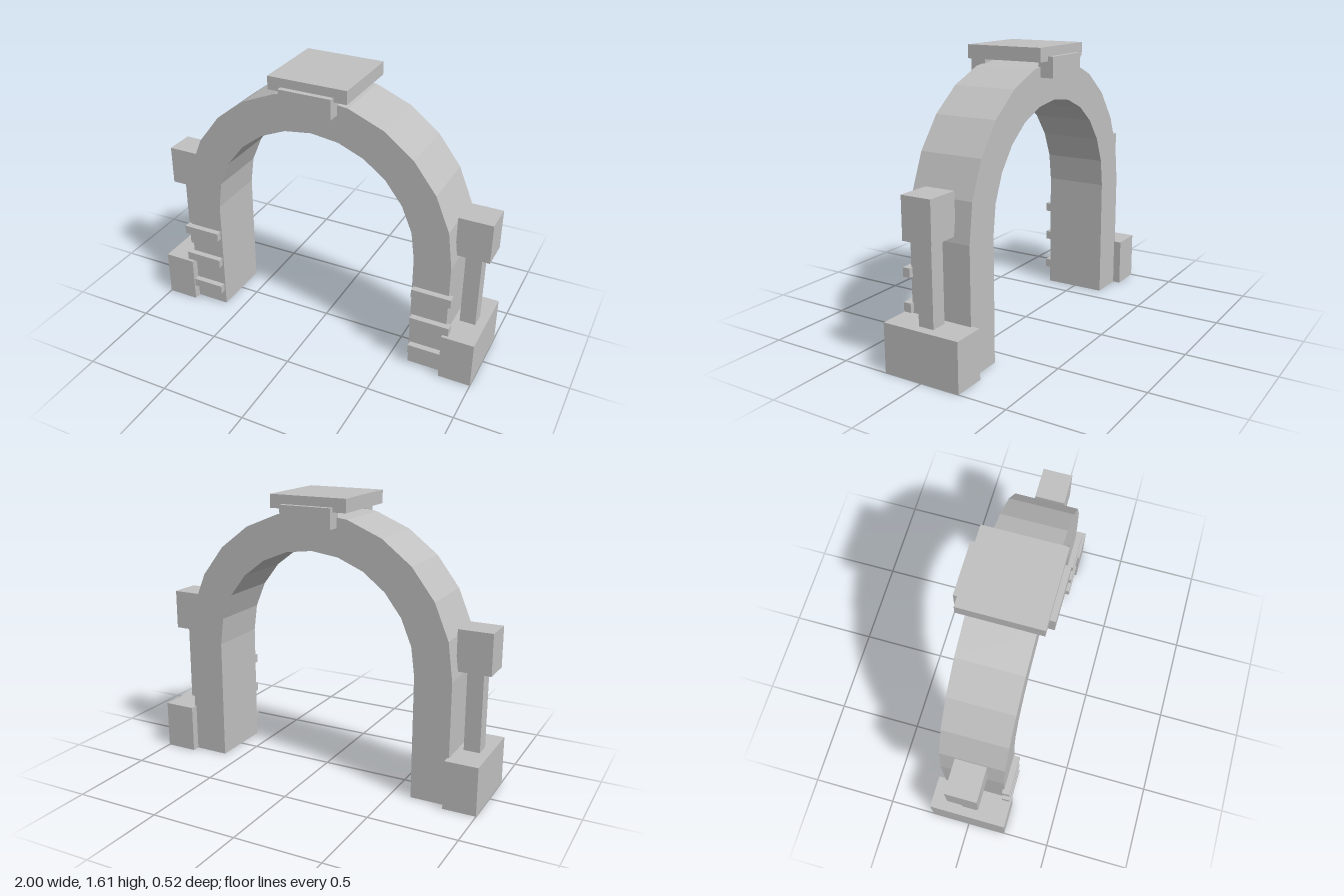
import * as THREE from 'three';

export function createModel() {
  const model = new THREE.Group();
  model.name = 'archway';
  const stone = new THREE.MeshStandardMaterial({ color: 0xc0c0c0, flatShading: true });
  stone.name = 'grey stone';

  // Box given by its minimum and maximum on each axis
  const box = (name, [x0, x1], [y0, y1], [z0, z1], parent = model) => {
    const mesh = new THREE.Mesh(new THREE.BoxGeometry(x1 - x0, y1 - y0, z1 - z0), stone);
    mesh.position.set((x0 + x1) / 2, (y0 + y1) / 2, (z0 + z1) / 2);
    mesh.name = name;
    parent.add(mesh);
  };

  // Arch: straight legs joined by a faceted half ring
  const spring = 0.7, outer = 0.823, inner = 0.612, steps = 12, halfDepth = 0.183;
  const arc = (r) => Array.from({ length: steps + 1 }, (_, i) => {
    const a = (i / steps) * Math.PI;
    return new THREE.Vector2(Math.cos(a) * r, spring + Math.sin(a) * r);
  });
  const outline = [
    new THREE.Vector2(outer, 0), ...arc(outer), new THREE.Vector2(-outer, 0),
    new THREE.Vector2(-inner, 0), ...arc(inner).reverse(), new THREE.Vector2(inner, 0),
  ];
  const archGeometry = new THREE.ExtrudeGeometry(new THREE.Shape(outline), {
    depth: halfDepth * 2, bevelEnabled: false,
  });
  archGeometry.translate(0, 0, -halfDepth);
  const arch = new THREE.Mesh(archGeometry, stone);
  arch.name = 'arch';
  model.add(arch);

  // Crown: flat cap held by a keystone plate on each face
  box('capSlab', [-0.228, 0.228], [1.535, 1.61], [-0.228, 0.228]);
  box('frontKeystone', [-0.152, 0.152], [1.447, 1.56], [0.17, 0.259]);
  box('backKeystone', [-0.152, 0.152], [1.447, 1.56], [-0.259, -0.17]);

  // Side pillars and front bands, the same on both sides
  for (const side of [1, -1]) {
    const group = new THREE.Group();
    group.name = side > 0 ? 'leftSide' : 'rightSide';
    const span = (a, b) => (side > 0 ? [a, b] : [-b, -a]);
    box('pedestal', span(0.813, 1), [0, 0.277], [-0.228, 0.228], group);
    box('column', span(0.856, 0.947), [0.27, 0.74], [-0.045, 0.045], group);
    box('capital', span(0.808, 1), [0.73, 0.96], [-0.088, 0.088], group);
    for (const y of [0.092, 0.285, 0.475]) {
      box('band', span(0.62, 0.848), [y, y + 0.051], [0.175, 0.219], group);
    }
    model.add(group);
  }
  return model;
}
